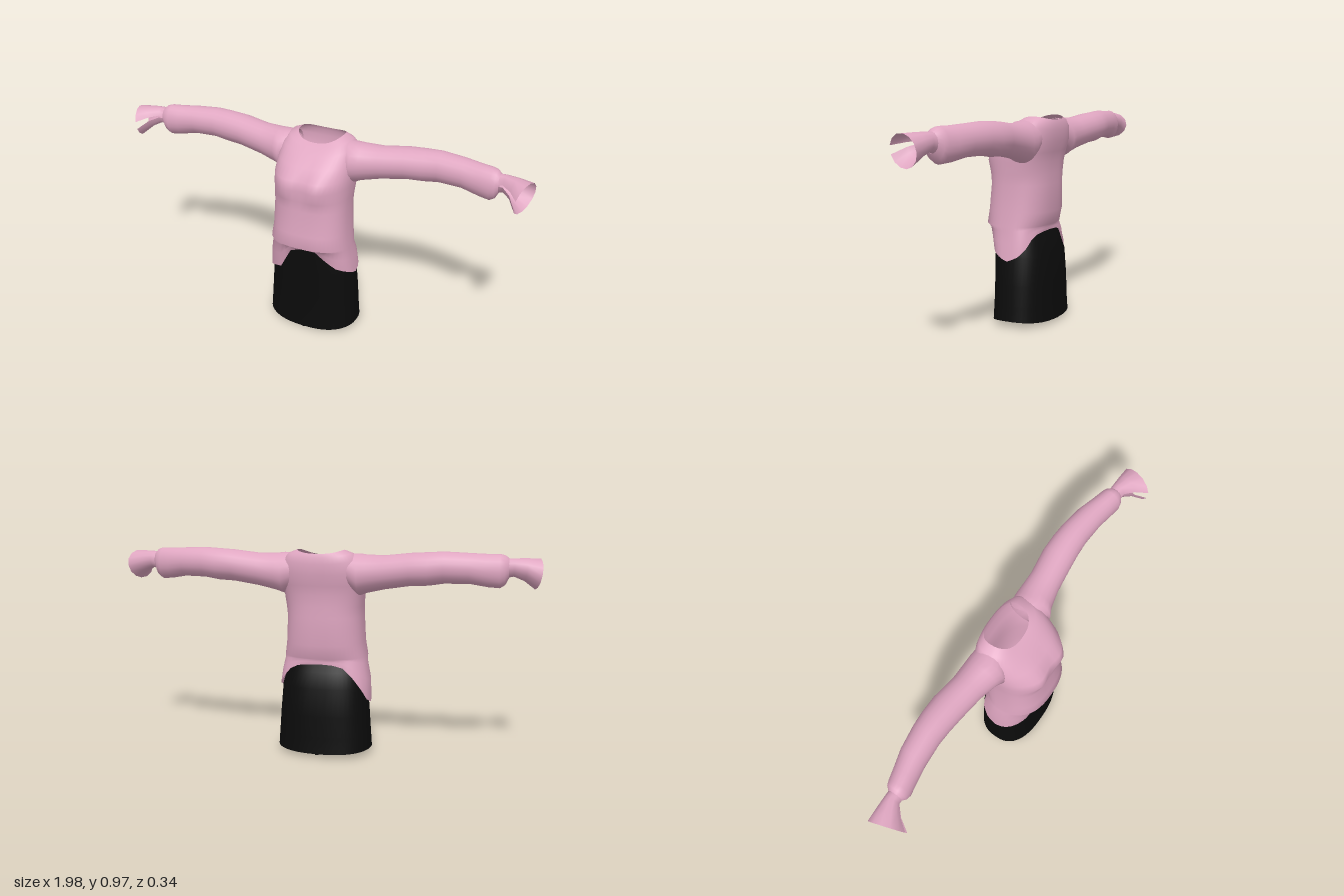
import * as THREE from 'three';

const N = 48; // points around body rings
const lerp = THREE.MathUtils.lerp;
const V = (x, y, z) => new THREE.Vector3(x, y, z);

// Skin a surface over rings of points
function loft(rings, closed = true) {
  const n = rings[0].length, pos = [], idx = [];
  rings.forEach(r => r.forEach(p => pos.push(p.x, p.y, p.z)));
  for (let i = 0; i < rings.length - 1; i++) {
    for (let j = 0; j < (closed ? n : n - 1); j++) {
      const k = (j + 1) % n, a = i * n, b = a + n;
      idx.push(a + j, a + k, b + k, a + j, b + k, b + j);
    }
  }
  const g = new THREE.BufferGeometry();
  g.setAttribute('position', new THREE.Float32BufferAttribute(pos, 3));
  g.setIndex(idx);
  g.computeVertexNormals();
  return g;
}

// Point on a squarish oval; angle 0 = front, 90 degrees = +x
function oval(t, w, zf, zb, zc, y) {
  const s = Math.sin(t), c = Math.cos(t), e = 0.8;
  return V(Math.sign(s) * w * Math.abs(s) ** e, y,
    zc + (c > 0 ? zf - zc : -(zc - zb)) * Math.abs(c) ** e);
}
const angles = Array.from({ length: N }, (_, j) => j / N * Math.PI * 2);
const blend = (t, front, side, back) => {
  const c = Math.cos(t);
  return lerp(side, c > 0 ? front : back, c * c);
};

// Skirt profile: height, half width, front z, back z
const SKIRT = [
  [0.02, 0.226, 0.122, -0.167],
  [0.1, 0.221, 0.117, -0.162],
  [0.2, 0.214, 0.116, -0.161],
  [0.33, 0.203, 0.118, -0.153],
  [0.4, 0.186, 0.119, -0.128],
  [0.47, 0.168, 0.12, -0.1],
];
function skirtPoint(t, y, grow = 1) {
  let i = 0;
  while (i < SKIRT.length - 2 && y > SKIRT[i + 1][0]) i++;
  const a = SKIRT[i], b = SKIRT[i + 1];
  const f = THREE.MathUtils.clamp((y - a[0]) / (b[0] - a[0]), 0, 1);
  const [w, zf, zb] = [1, 2, 3].map(k => lerp(a[k], b[k], f) * grow);
  return oval(t, w, zf, zb, -0.01, y);
}

// Uneven hem height, every 15 degrees from the front round by +x
const HEM = [0.448, 0.445, 0.4, 0.362, 0.345, 0.33, 0.312, 0.335, 0.368, 0.41, 0.43, 0.437,
  0.44, 0.437, 0.425, 0.385, 0.33, 0.275, 0.252, 0.27, 0.285, 0.3, 0.315, 0.425];
function hemY(t) {
  const u = t / (Math.PI * 2) * HEM.length, i = Math.floor(u + 1e-6);
  return lerp(HEM[i % 24], HEM[(i + 1) % 24], u - i);
}

// Sweater body: y front, y side, y back, half width, z front, z back, z side
const BODY = [
  [0.475, 0.47, 0.465, 0.197, 0.17, -0.124, 0.005],
  [0.54, 0.54, 0.53, 0.186, 0.162, -0.144, 0.003],
  [0.66, 0.66, 0.66, 0.181, 0.15, -0.145, 0],
  [0.71, 0.71, 0.71, 0.183, 0.155, -0.145, -0.015],
  [0.765, 0.765, 0.765, 0.187, 0.162, -0.147, -0.035],
  [0.81, 0.81, 0.81, 0.19, 0.152, -0.155, -0.055],
  [0.86, 0.87, 0.86, 0.19, 0.106, -0.168, -0.08],
  [0.905, 0.93, 0.91, 0.178, 0.055, -0.169, -0.085],
  [0.93, 0.958, 0.94, 0.15, 0.022, -0.165, -0.088],
  [0.943, 0.973, 0.957, 0.11, 0, -0.157, -0.09],
];
function bodyRings() {
  const rings = BODY.map(([yf, ys, yb, w, zf, zb, zc]) => angles.map(t => {
    const p = oval(t, w, zf, zb, zc, blend(t, yf, ys, yb));
    // Soft bust on the front
    if (Math.cos(t) > 0.1) {
      const fall = Math.exp(-(((p.y - 0.775) / 0.06) ** 2));
      p.z += fall * (0.014 * Math.exp(-(((Math.abs(p.x) - 0.085) / 0.045) ** 2))
        - 0.01 * Math.exp(-((p.x / 0.035) ** 2)));
    }
    return p;
  }));
  // Draped hem lying over the skirt
  const hem = angles.map(t => skirtPoint(t, hemY(t), 1.06));
  const drape = [0.33, 0.7].map(f => angles.map((t, j) => {
    const y = lerp(hem[j].y, rings[0][j].y, f);
    const fold = 1.09 + 0.025 * Math.sin(t * 7) * (1 - f);
    return skirtPoint(t, y, fold).lerp(rings[0][j], f * 0.75);
  }));
  return [hem, ...drape, ...rings];
}

// Sleeve: x, y top, y bottom, z back, z front
const SLEEVE = [
  [0.13, 0.955, 0.8, -0.15, 0.0],
  [0.18, 0.957, 0.765, -0.158, 0.03],
  [0.215, 0.953, 0.778, -0.157, 0.012],
  [0.3, 0.952, 0.798, -0.156, -0.008],
  [0.42, 0.966, 0.818, -0.17, -0.02],
  [0.5, 0.971, 0.822, -0.17, -0.028],
  [0.57, 0.975, 0.833, -0.164, -0.03],
  [0.68, 0.97, 0.834, -0.148, -0.023],
  [0.76, 0.966, 0.82, -0.126, -0.012],
  [0.81, 0.966, 0.816, -0.113, -0.004],
  [0.832, 0.96, 0.83, -0.104, -0.008],
  [0.848, 0.945, 0.862, -0.085, -0.018],
];
// Flared cuff with a slit at the front
const CUFF = [
  [0.84, 0.947, 0.862, -0.085, -0.018, 0],
  [0.865, 0.948, 0.868, -0.084, -0.016, 0.25],
  [0.91, 0.949, 0.848, -0.086, 0.02, 0.6],
  [0.967, 0.947, 0.81, -0.088, 0.074, 1],
];
function armRings(rows, side, n, slit) {
  return rows.map(([x, yt, yb, zb, zf, flare = 0]) => {
    const ring = Array.from({ length: n }, (_, j) => {
      const gap = slit ? 0.06 + 0.2 * flare : 0;
      const a = slit ? Math.PI / 2 + lerp(gap, Math.PI * 2 - gap, j / (n - 1)) : j / n * Math.PI * 2;
      const y = (yt + yb) / 2 + Math.cos(a) * (yt - yb) / 2;
      const z = (zf + zb) / 2 + Math.sin(a) * (zf - zb) / 2;
      const skew = flare * (-0.3 * (z + 0.01) + 0.15 * (y - 0.88));
      return V(side * (x + skew), y, z);
    });
    return side < 0 ? ring.reverse() : ring;
  });
}

export function createModel() {
  const pink = new THREE.MeshStandardMaterial({ color: 0xdfa6c1, side: THREE.DoubleSide });
  pink.name = 'pinkKnit';
  const black = new THREE.MeshStandardMaterial({ color: 0x0b0b0b, side: THREE.DoubleSide });
  black.name = 'blackFabric';

  const model = new THREE.Group();
  model.name = 'sweaterAndSkirt';
  const add = (name, geo, mat) => {
    const m = new THREE.Mesh(geo, mat);
    m.name = name;
    model.add(m);
    return m;
  };

  add('sweaterBody', loft(bodyRings()), pink);
  for (const [label, side] of [['left', 1], ['right', -1]]) {
    add(label + 'Sleeve', loft(armRings(SLEEVE, side, 20, false)), pink);
    add(label + 'Cuff', loft(armRings(CUFF, side, 13, true), false), pink);
  }

  // Open skirt with a slightly raised hem at the sides
  const skirtRings = SKIRT.map(([y], i) => angles.map(t => {
    const p = skirtPoint(t, y);
    if (i === 0) p.y = blend(t, 0.005, 0.03, 0.018);
    return p;
  }));
  add('skirt', loft(skirtRings), black);

  // Narrow strip joining front and back hem
  const strip = add('hemStrip', new THREE.BoxGeometry(0.016, 0.005, 0.284), black);
  strip.position.set(0, 0.01, -0.022);
  strip.rotation.x = 0.045;
  return model;
}
